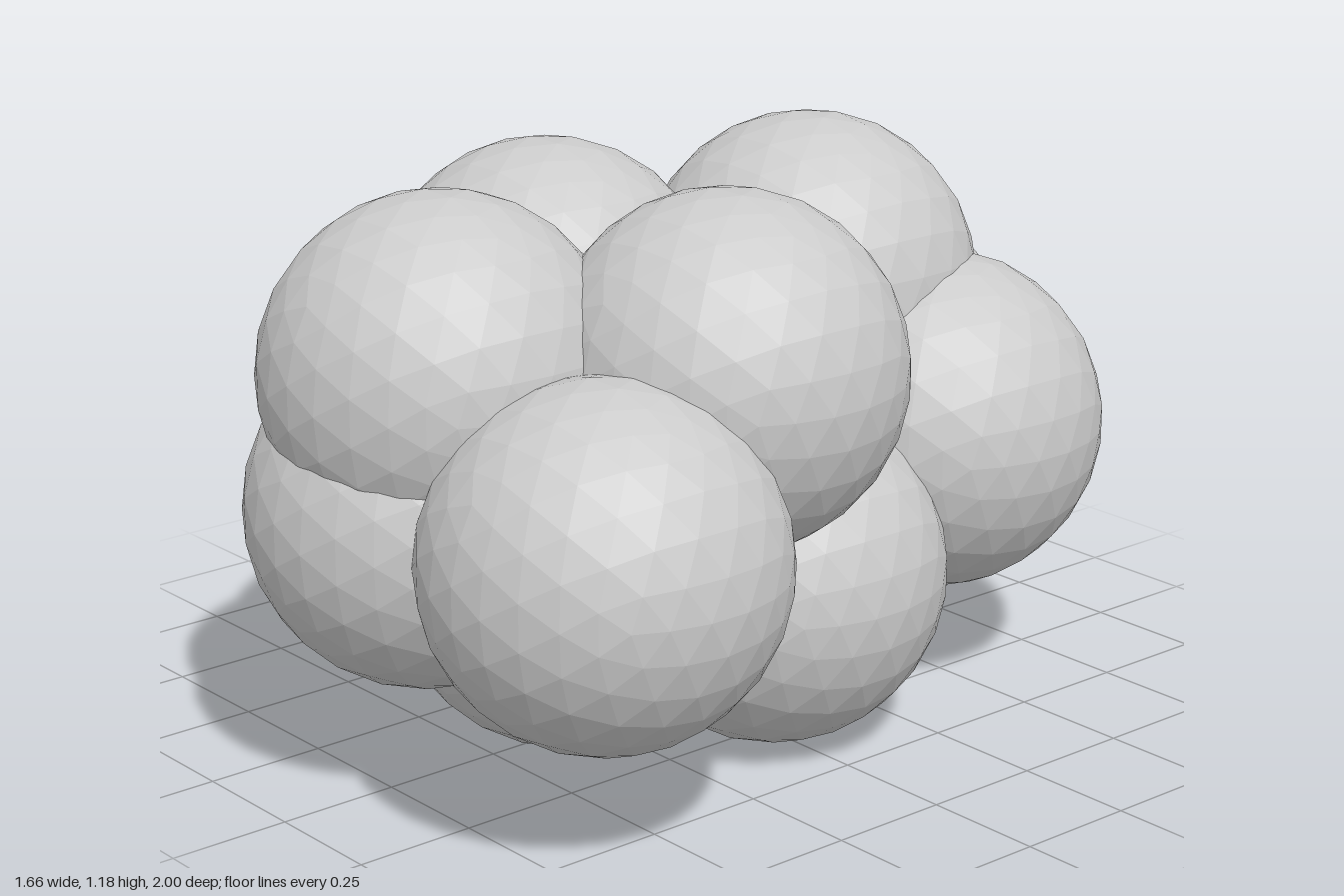
import * as THREE from 'three';

const RADIUS = 0.352;

// Ball centres [x, z] for each layer of the cluster, with the layer height
const LAYERS = [
  { name: 'bottomBall', y: 0.35, centers: [[0.26, -0.01], [0.01, 0.32], [-0.01, -0.33]] },
  {
    name: 'middleBall', y: 0.56,
    centers: [[-0.18, -0.65], [0.23, -0.48], [-0.48, -0.19], [0.48, 0.6], [-0.31, 0.35], [0, 0.65]],
  },
  { name: 'topBall', y: 0.83, centers: [[-0.01, -0.345], [-0.18, 0.21], [0.37, 0.21], [0.03, 0.63]] },
];

export function createModel() {
  const group = new THREE.Group();
  group.name = 'ballCluster';
  const material = new THREE.MeshStandardMaterial({ color: 0xcccccc, flatShading: true });
  // Faceted ball shared by the whole cluster
  const ball = new THREE.IcosahedronGeometry(RADIUS, 4);

  for (const { name, y, centers } of LAYERS) {
    centers.forEach(([x, z], i) => {
      const mesh = new THREE.Mesh(ball, material);
      mesh.name = `${name}${i + 1}`;
      mesh.position.set(x, y, z);
      group.add(mesh);
    });
  }
  return group;
}
